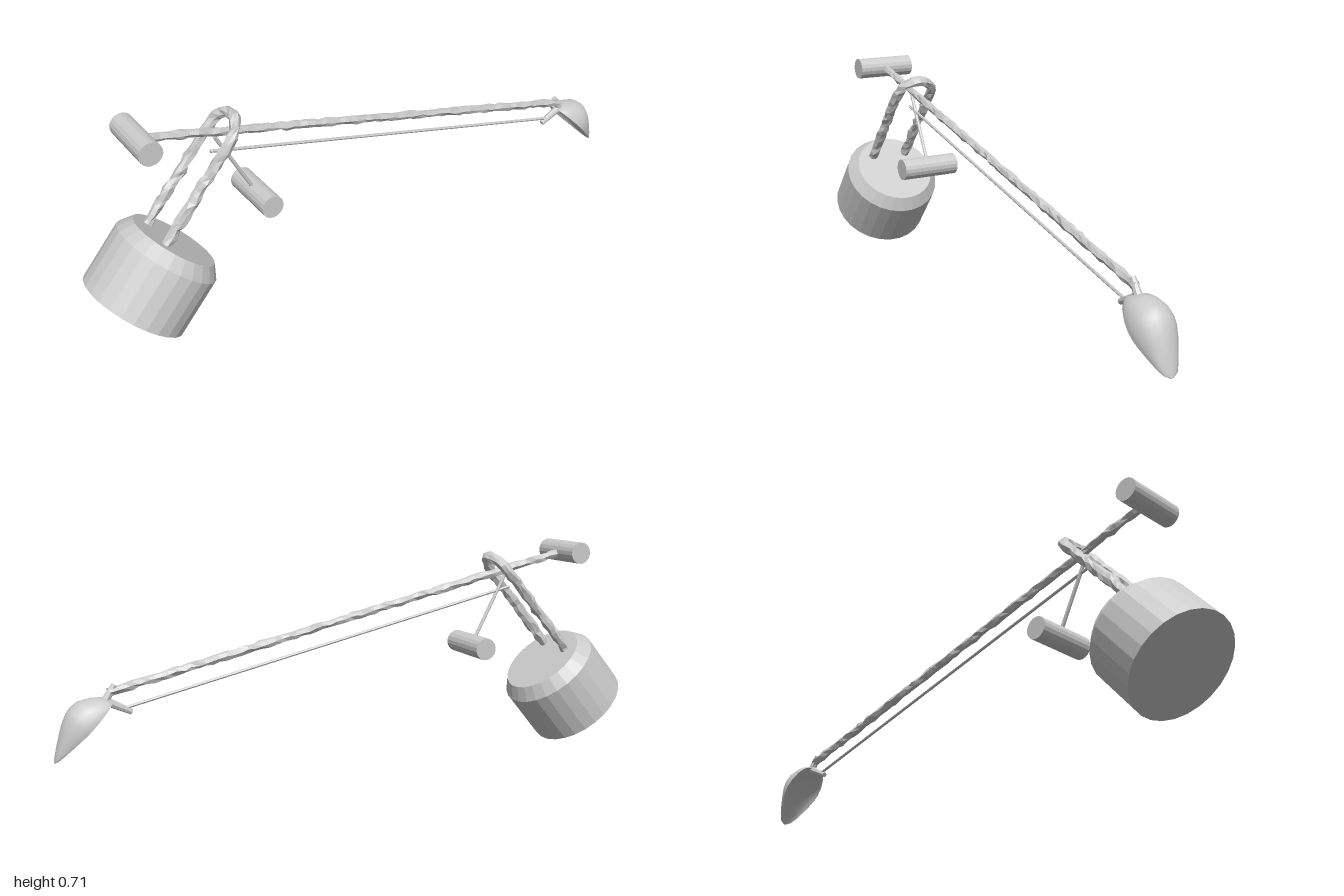
import * as THREE from 'three';
import { mergeVertices } from 'three/addons/utils/BufferGeometryUtils.js';

const V = (x, y, z = 0) => new THREE.Vector3(x, y, z);
const flat = new THREE.MeshStandardMaterial({ color: 0xcccccc, flatShading: true, side: THREE.DoubleSide });
const smooth = new THREE.MeshStandardMaterial({ color: 0xcccccc, side: THREE.DoubleSide });

function add(parent, name, geometry, material = flat) {
  const mesh = new THREE.Mesh(geometry, material);
  mesh.name = name;
  parent.add(mesh);
  return mesh;
}

// Straight round bar between two points
function bar(parent, name, a, b, r0, r1 = r0, sides = 8) {
  const dir = b.clone().sub(a);
  const mesh = add(parent, name, new THREE.CylinderGeometry(r1, r0, dir.length(), sides));
  mesh.position.copy(a).lerp(b, 0.5);
  mesh.quaternion.setFromUnitVectors(V(0, 1), dir.normalize());
  return mesh;
}

// Rough, hand-carved tube: vertices are shifted by a small seeded amount
function roughTube(curve, segments, radius, sides, rough) {
  let geo = new THREE.TubeGeometry(curve, segments, radius, sides);
  geo.deleteAttribute('uv');
  geo.deleteAttribute('normal');
  geo = mergeVertices(geo, 1e-4);
  let seed = 7;
  const rnd = () => (seed = (seed * 16807) % 2147483647) / 2147483647 - 0.5;
  const p = geo.attributes.position;
  for (let i = 0; i < p.count; i++) {
    p.setXYZ(i, p.getX(i) + rnd() * rough, p.getY(i) + rnd() * rough, p.getZ(i) + rnd() * rough);
  }
  geo.computeVertexNormals();
  return geo;
}

// Half-shell scoop, lofted from crescent cross-sections: [distance, half width, height]
function scoopGeometry() {
  const rows = [[0, 0.03, 0.006], [0.01, 0.043, 0.028], [0.03, 0.056, 0.05], [0.065, 0.067, 0.074],
    [0.095, 0.07, 0.079], [0.12, 0.068, 0.074], [0.15, 0.06, 0.061], [0.18, 0.049, 0.044],
    [0.21, 0.037, 0.026], [0.235, 0.023, 0.01], [0.247, 0.004, 0.002]];
  const half = 10, n = 2 * half, pos = [], idx = [];
  for (const [t, w, h] of rows) {
    for (let j = 0; j < n; j++) {
      const a = (j / half) * Math.PI;
      const up = Math.sin(a) >= 0 ? h * Math.sin(a) : -0.3 * h * Math.sin(a);
      pos.push(0.815 + (t + up) * Math.SQRT1_2, 0.286 + (up - t) * Math.SQRT1_2, w * Math.cos(a));
    }
  }
  for (let i = 0; i < rows.length - 1; i++) {
    for (let j = 0; j < n; j++) {
      const a = i * n + j, b = i * n + (j + 1) % n;
      idx.push(a, a + n, b, b, a + n, b + n);
    }
  }
  // End caps
  const last = (rows.length - 1) * n;
  for (let j = 1; j < n - 1; j++) idx.push(0, j, j + 1, last, last + j + 1, last + j);
  const geo = new THREE.BufferGeometry();
  geo.setAttribute('position', new THREE.Float32BufferAttribute(pos, 3));
  geo.setIndex(idx);
  geo.computeVertexNormals();
  return geo;
}

export function createModel() {
  const model = new THREE.Group();
  model.name = 'balancePole';

  // Tilted drum base with a chamfered top, and the hoop planted in it
  const stand = new THREE.Group();
  stand.name = 'stand';
  stand.position.set(-0.867, 0.12, 0);
  stand.rotation.z = THREE.MathUtils.degToRad(-40);
  model.add(stand);
  const profile = [[0, 0], [0.174, 0], [0.174, 0.193], [0.143, 0.235], [0, 0.235]];
  add(stand, 'base', new THREE.LatheGeometry(profile.map(([x, y]) => new THREE.Vector2(x, y)), 26));

  const hoopPoints = [V(-0.068, 0.2, 0.066), V(-0.068, 0.32, 0.066), V(-0.068, 0.46, 0.066)];
  for (let i = 0; i <= 6; i++) {
    const a = (i / 6) * Math.PI;
    hoopPoints.push(V(-0.068, 0.594 + 0.066 * Math.sin(a), 0.066 * Math.cos(a)));
  }
  hoopPoints.push(V(-0.068, 0.46, -0.066), V(-0.068, 0.32, -0.066), V(-0.068, 0.2, -0.066));
  add(stand, 'hoop', roughTube(new THREE.CatmullRomCurve3(hoopPoints), 44, 0.017, 7, 0.008));

  // Long pole resting in the hoop
  const poleStart = V(-0.797, 0.681), poleEnd = V(0.82, 0.313);
  add(model, 'pole', roughTube(new THREE.LineCurve3(poleStart, poleEnd), 70, 0.0135, 6, 0.006));

  // Two round counterweights lying across the pole
  for (const [name, x, y] of [['endWeight', -0.797, 0.68], ['hangingWeight', -0.428, 0.37]]) {
    const weight = add(model, name, new THREE.CylinderGeometry(0.037, 0.037, 0.205, 18));
    weight.rotation.x = Math.PI / 2;
    weight.position.set(x, y, 0.002);
  }
  bar(model, 'weightRod', V(-0.556, 0.61), V(-0.428, 0.37), 0.006);

  // Thin control line running below the pole
  bar(model, 'controlLine', V(-0.573, 0.565), V(0.785, 0.258), 0.005, 0.005, 6);

  // Bracket joining pole, control line and scoop
  bar(model, 'bracketTop', V(0.803, 0.335), V(0.832, 0.288), 0.009, 0.014);
  bar(model, 'bracketArm', V(0.752, 0.247), V(0.832, 0.288), 0.009, 0.014);

  // Scoop
  add(model, 'scoop', scoopGeometry(), smooth);
  return model;
}
